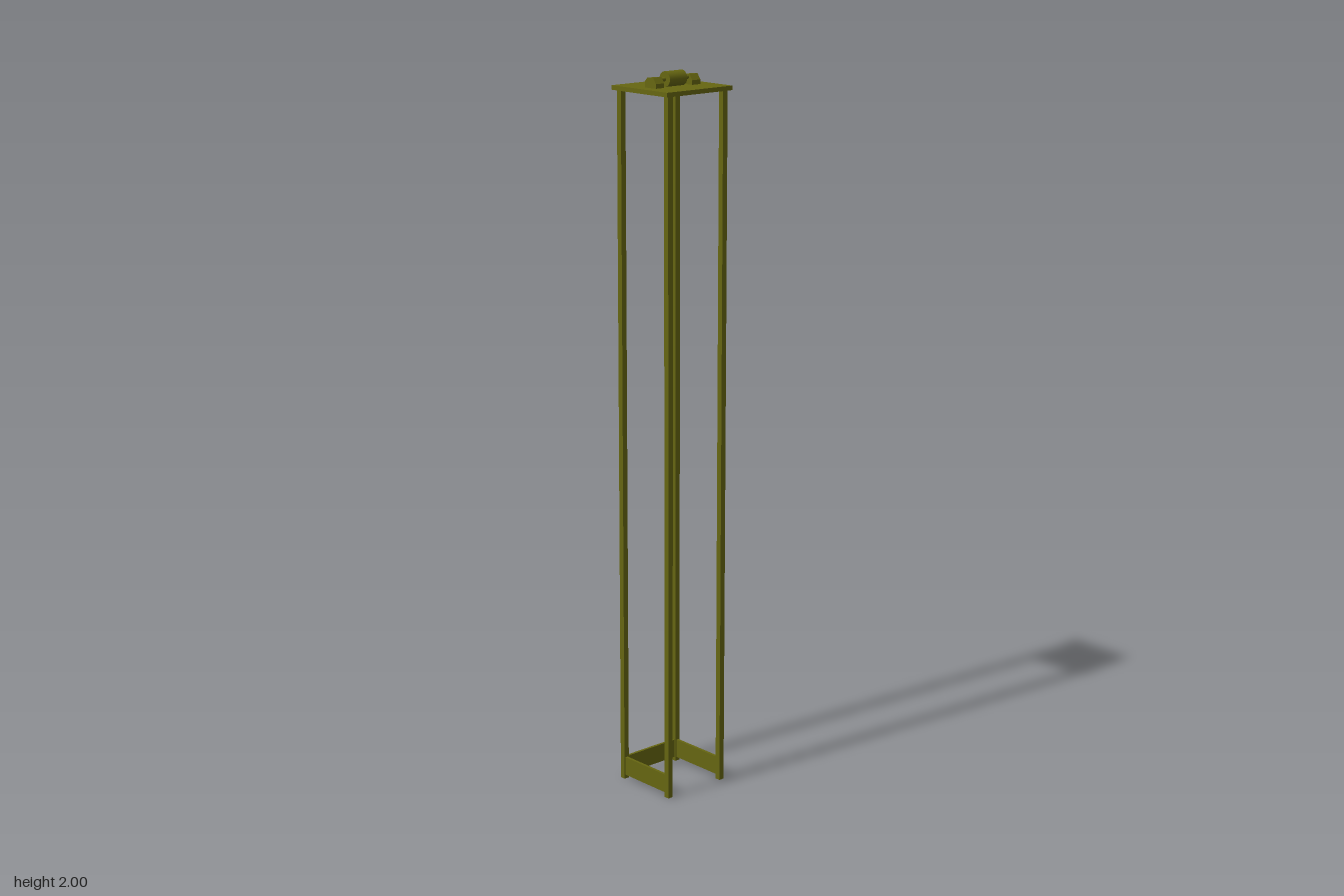
import * as THREE from 'three';

const material = new THREE.MeshStandardMaterial({ color: 0x666611, roughness: 0.8 });

export function createModel() {
  const model = new THREE.Group();

  const add = (name, geometry, x, y, z) => {
    const mesh = new THREE.Mesh(geometry, material);
    mesh.name = name;
    mesh.position.set(x, y, z);
    model.add(mesh);
    return mesh;
  };
  const box = (name, w, h, d, x, y, z) => add(name, new THREE.BoxGeometry(w, h, d), x, y, z);

  // Frame: four slim square posts under a flat plate
  const cx = -0.001, lidBottom = 1.948, lidTop = 1.96;
  const postX = 0.097, postZ = 0.093, postSize = 0.016;
  for (const sx of [-1, 1]) {
    for (const sz of [-1, 1]) {
      box(`${sz > 0 ? 'front' : 'back'}${sx > 0 ? 'Left' : 'Right'}Post`,
        postSize, lidBottom, postSize, cx + sx * postX, lidBottom / 2, sz * postZ);
    }
  }
  box('topPlate', 0.23, lidTop - lidBottom, 0.218, cx, (lidTop + lidBottom) / 2, -0.001);

  // Skirting boards on the back and both sides; the front stays open
  const boardY = 0.038, boardH = 0.053, boardT = 0.008;
  box('backBoard', 2 * postX - postSize, boardH, boardT, cx, boardY, -postZ);
  for (const sx of [-1, 1]) {
    box(sx > 0 ? 'leftBoard' : 'rightBoard', boardT, boardH, 2 * postZ - postSize,
      cx + sx * postX, boardY, 0);
  }

  // Handle: rod and thick grip lying along x between two chamfered brackets
  const handleX = -0.004, handleY = 1.98, handleZ = 0.0095;
  const rod = (name, r, length, x) => {
    const g = new THREE.CylinderGeometry(r, r, length, 24).rotateZ(Math.PI / 2);
    return add(name, g, x, handleY, handleZ);
  };
  rod('handleRod', 0.0055, 0.104, handleX);
  rod('handleGrip', 0.0205, 0.061, -0.0055);

  // Bracket outline in (z, height above the plate)
  const outline = [[-0.016, 0], [-0.016, 0.016], [-0.007, 0.026], [0.016, 0.028],
    [0.027, 0.012], [0.027, 0]];
  const shape = new THREE.Shape(outline.map(([z, y]) => new THREE.Vector2(-z, y)));
  const width = 0.029;
  const bracket = new THREE.ExtrudeGeometry(shape, { depth: width, bevelEnabled: false })
    .translate(0, 0, -width / 2)
    .rotateY(Math.PI / 2);
  for (const sx of [-1, 1]) {
    add(sx > 0 ? 'leftBracket' : 'rightBracket', bracket, handleX + sx * 0.064, lidTop, 0);
  }

  return model;
}
